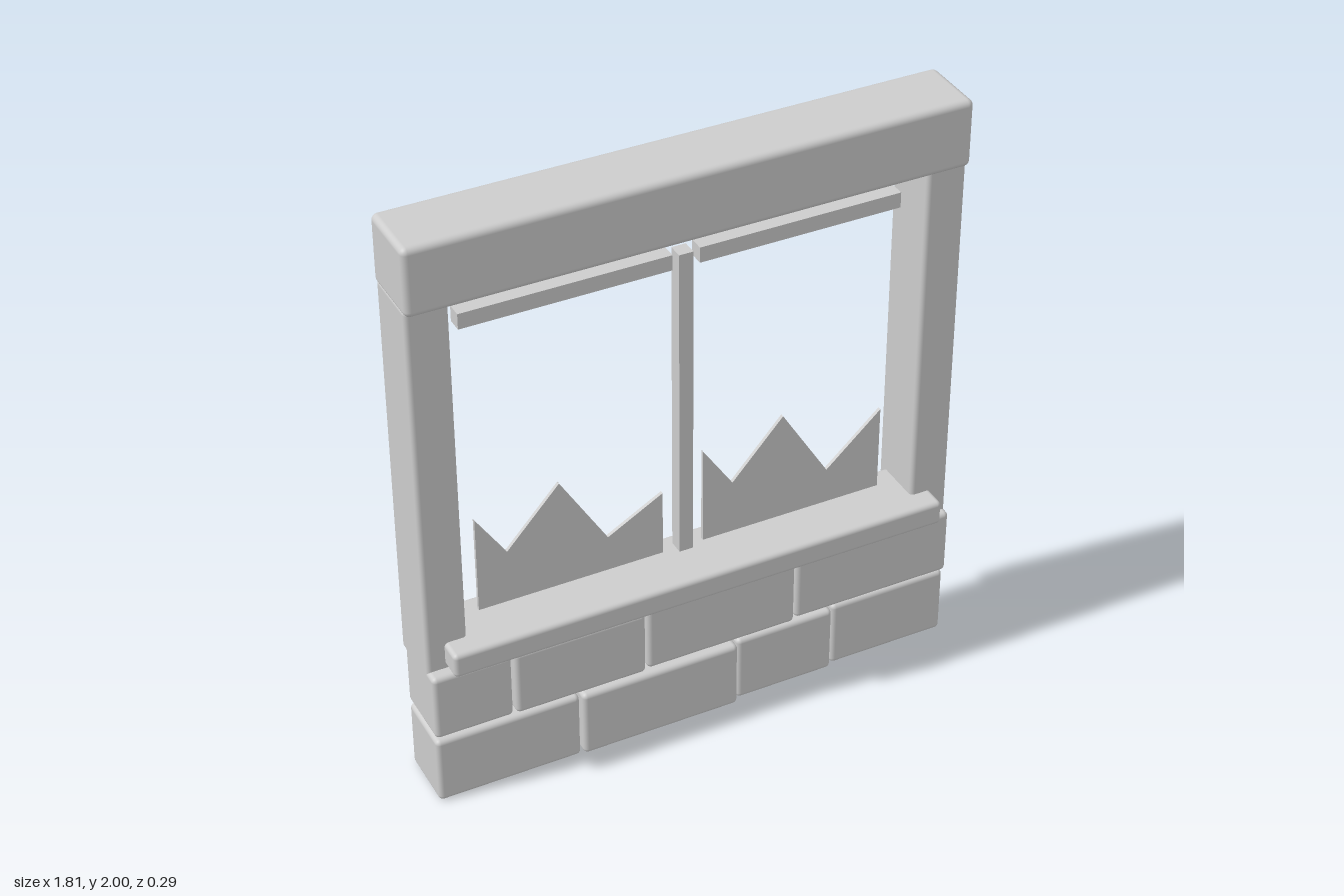
import * as THREE from 'three';
import { RoundedBoxGeometry } from 'three/addons/geometries/RoundedBoxGeometry.js';

export function createModel() {
  const model = new THREE.Group();
  model.name = 'brokenWindow';
  const grey = new THREE.MeshStandardMaterial({ color: 0xcccccc });
  grey.name = 'grey';

  const add = (name, geometry, parent = model) => {
    const mesh = new THREE.Mesh(geometry, grey);
    mesh.name = name;
    parent.add(mesh);
    return mesh;
  };

  // Box given by its extents; radius 0 keeps sharp edges
  const block = (name, [x0, x1], [y0, y1], [z0, z1], radius = 0, parent = model) => {
    const size = [x1 - x0, y1 - y0, z1 - z0];
    const geometry = radius
      ? new RoundedBoxGeometry(...size, 3, radius)
      : new THREE.BoxGeometry(...size);
    add(name, geometry, parent).position.set((x0 + x1) / 2, (y0 + y1) / 2, (z0 + z1) / 2);
  };

  // Frame: lintel, posts and sill
  block('lintel', [-0.907, 0.905], [1.775, 2], [-0.145, 0.085], 0.02);
  block('rightPost', [-0.905, -0.77], [0.45, 1.79], [-0.135, 0.068], 0.015);
  block('leftPost', [0.768, 0.9], [0.45, 1.79], [-0.132, 0.068], 0.015);
  block('sill', [-0.845, 0.84], [0.5, 0.585], [-0.1, 0.143], 0.015);

  // Brick courses: [x start, x end, half depth]
  const courses = [
    { y: [0, 0.24], bricks: [[-0.905, -0.422, 0.108], [-0.414, 0.129, 0.115], [0.136, 0.48, 0.095], [0.488, 0.9, 0.08]] },
    { y: [0.255, 0.49], bricks: [[-0.905, -0.646, 0.11], [-0.637, -0.194, 0.113], [-0.185, 0.335, 0.105], [0.344, 0.9, 0.095]] },
  ];
  const wall = new THREE.Group();
  wall.name = 'brickWall';
  model.add(wall);
  for (const { y, bricks } of courses) {
    for (const [x0, x1, d] of bricks) block('brick', [x0, x1], y, [-d, d], 0.016, wall);
  }

  // Thin glazing bars
  block('mullion', [-0.025, 0.022], [0.597, 1.687], [-0.045, 0.005]);
  block('rightTopBar', [-0.722, -0.046], [1.642, 1.694], [-0.045, 0.005]);
  block('leftTopBar', [0.043, 0.716], [1.642, 1.694], [-0.045, 0.005]);

  // Jagged glass left in each pane
  const shard = (name, points) => {
    const shape = new THREE.Shape(points.map(([x, y]) => new THREE.Vector2(x, y)));
    const geometry = new THREE.ExtrudeGeometry(shape, { depth: 0.012, bevelEnabled: false });
    add(name, geometry).position.z = -0.022;
  };
  shard('rightGlass', [[-0.697, 0.602], [-0.075, 0.602], [-0.075, 0.832], [-0.262, 0.727], [-0.42, 0.986], [-0.597, 0.79], [-0.697, 0.942]]);
  shard('leftGlass', [[0.064, 0.602], [0.688, 0.602], [0.688, 0.9], [0.5, 0.727], [0.34, 0.986], [0.166, 0.79], [0.064, 0.942]]);

  return model;
}
